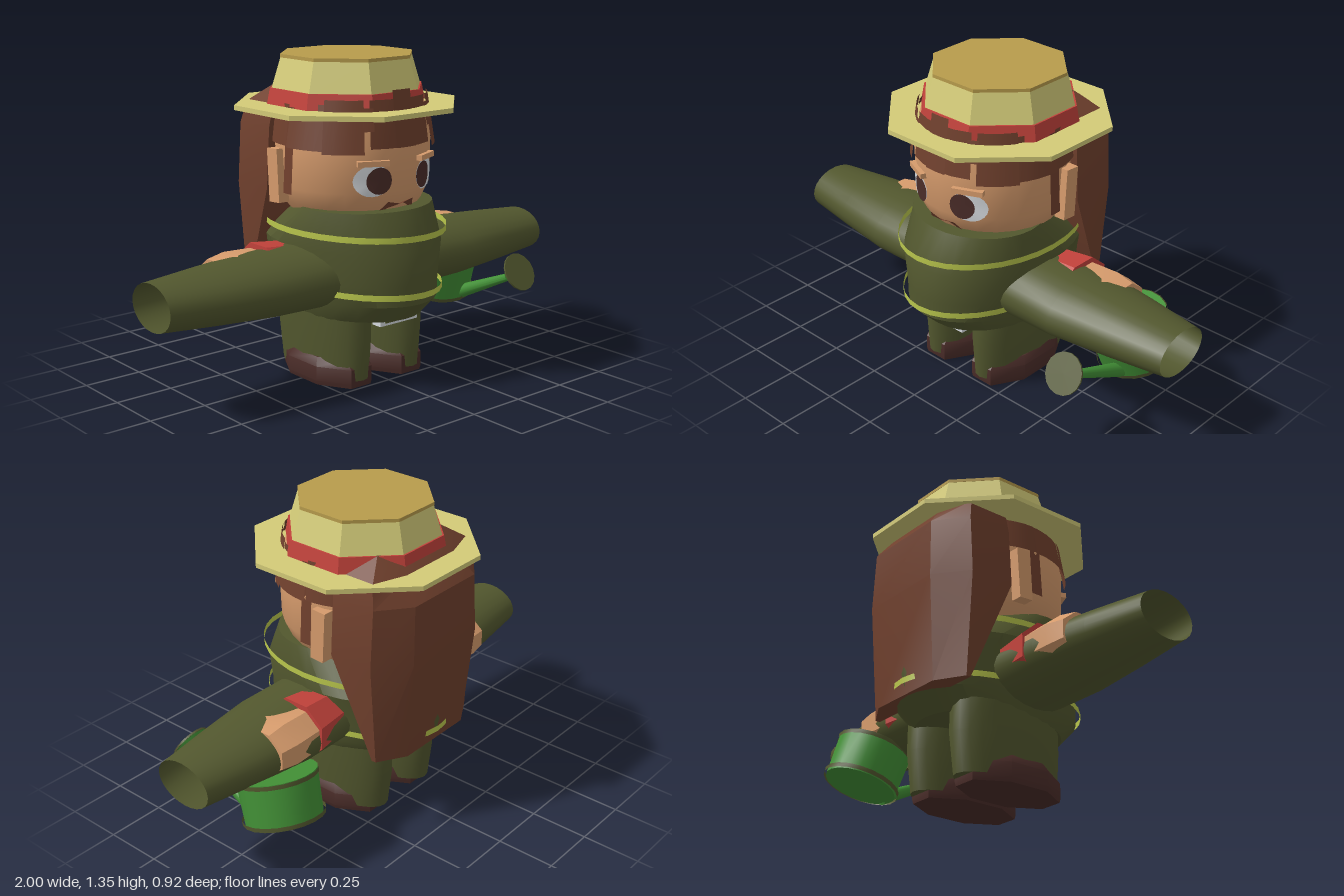
import * as THREE from 'three';
import { toCreasedNormals } from 'three/addons/utils/BufferGeometryUtils.js';

const paint = (name, color, side = THREE.FrontSide) =>
  Object.assign(new THREE.MeshStandardMaterial({ color, side }), { name });

export function createModel() {
  const model = new THREE.Group();
  const skin = paint('skin', 0xd69b6c);
  const hair = paint('hair brown', 0x70402d, THREE.DoubleSide);
  const olive = paint('olive cloth', 0x52572e, THREE.DoubleSide);
  const lime = paint('lime trim', 0xb9c64c, THREE.DoubleSide);
  const straw = paint('straw', 0xd3cb78);
  const ochre = paint('ochre straw', 0xb89c4c);
  const red = paint('red', 0xc2423b);
  const green = paint('can green', 0x429036);
  const dark = paint('dark brown', 0x4b2d29);
  const white = paint('pale grey', 0xd8dce0);

  const add = (name, geo, mat, parent = model) => {
    const mesh = new THREE.Mesh(toCreasedNormals(geo, 0.6), mat);
    mesh.name = name;
    parent.add(mesh);
    return mesh;
  };
  const box = (w, h, d, x, y, z) => new THREE.BoxGeometry(w, h, d).translate(x, y, z);

  // Skin a list of rings, bottom to top, with optional end caps
  const skinRings = (rings, caps = true) => {
    const n = rings[0].length, pos = rings.flat(2), idx = [];
    for (let i = 0; i < rings.length - 1; i++)
      for (let j = 0; j < n; j++) {
        const a = i * n + j, b = i * n + (j + 1) % n;
        idx.push(a, b, b + n, a, b + n, a + n);
      }
    if (caps) {
      const top = (rings.length - 1) * n;
      for (let j = 1; j < n - 1; j++) idx.push(0, j + 1, j, top, top + j, top + j + 1);
    }
    const geo = new THREE.BufferGeometry();
    geo.setAttribute('position', new THREE.Float32BufferAttribute(pos, 3));
    geo.setIndex(idx);
    geo.computeVertexNormals();
    return geo;
  };
  // Elliptical loft; each level is [y, radiusX, radiusZ, centreZ]
  const loft = (levels, n = 24, caps = true, phase = 0) => skinRings(levels.map(([y, rx, rz, cz]) =>
    Array.from({ length: n }, (_, j) => {
      const a = phase + (j / n) * Math.PI * 2;
      return [Math.sin(a) * rx, y, cz + Math.cos(a) * rz];
    })), caps);
  // Octagonal loft with flat sides facing the axes; levels are [y, halfX, halfZ, centreZ]
  const octagon = (levels) => loft(levels.map(([y, x, z, c]) =>
    [y, x / Math.cos(Math.PI / 8), z / Math.cos(Math.PI / 8), c]), 8, true, Math.PI / 8);

  // Tunic and its two hoops
  add('tunic', loft([[0.29, 0.26, 0.325, 0.025], [0.37, 0.295, 0.415, 0.015], [0.45, 0.3, 0.42, 0.01],
    [0.59, 0.33, 0.42, 0.01], [0.745, 0.29, 0.255, 0.1]], 32), olive);
  for (const [y, rx] of [[0.652, 0.337], [0.415, 0.303]])
    add('trimHoop', new THREE.CylinderGeometry(1, 1, 0.025, 32, 1, true).scale(rx, 1, 0.438).translate(0, y, 0.021), lime);
  add('buckle', box(0.2, 0.035, 0.05, 0, 0.283, 0.285), white);
  add('buckleInset', box(0.15, 0.018, 0.008, 0, 0.286, 0.311), olive);

  // Sleeves, arms, legs and boots on both sides
  for (const s of [1, -1]) {
    const sideways = (geo, y) => geo.rotateZ(-s * Math.PI / 2).translate(0, y, 0);
    add('wideSleeve', sideways(loft([[0.24, 0.135, 0.205, 0.035], [0.5, 0.127, 0.21, 0.035],
      [0.75, 0.113, 0.175, 0.035], [1, 0.095, 0.135, 0.035]], 24, false), 0.46), olive);
    add('redCuff', sideways(octagon([[0.26, 0.1, 0.11, -0.04], [0.45, 0.118, 0.138, -0.04]]), 0.48), red);
    add('hand', sideways(octagon([[0.43, 0.1, 0.12, -0.045], [0.58, 0.105, 0.127, -0.045],
      [0.66, 0.09, 0.115, -0.045]]), 0.475), skin);
    add('leg', loft([[0.03, 0.112, 0.25, 0], [0.2, 0.125, 0.265, -0.005], [0.34, 0.128, 0.262, -0.005]])
      .translate(s * 0.138, 0, 0), olive);
    add('boot', octagon([[0, 0.125, 0.222, 0.012], [0.02, 0.132, 0.226, 0.012], [0.08, 0.132, 0.225, 0.012],
      [0.115, 0.115, 0.19, 0.012]]).translate(s * 0.138, 0, 0), dark);
  }

  // Head
  const headZ = 0.01;
  const profile = [[0.69, 0.24], [0.75, 0.288], [0.82, 0.32], [1, 0.325], [1.15, 0.3]];
  add('head', loft(profile.map(([y, r]) => [y, r, r, headZ])), skin);
  const headRadius = (y) => {
    const i = Math.max(1, profile.findIndex((p) => p[0] >= y));
    const [[y0, r0], [y1, r1]] = [profile[i - 1], profile[i]];
    return r0 + (r1 - r0) * (y - y0) / (y1 - y0);
  };
  // Wrap a flat shape onto the face
  const onFace = (geo, lift) => {
    const p = geo.attributes.position;
    for (let i = 0; i < p.count; i++)
      p.setZ(i, headZ + Math.sqrt(headRadius(p.getY(i)) ** 2 - p.getX(i) ** 2) + lift);
    geo.computeVertexNormals();
    return geo;
  };
  const outline = (pts) => new THREE.ShapeGeometry(new THREE.Shape(pts.map(([x, y]) => new THREE.Vector2(x, y))));
  const disc = (rx, ry, x, y) => new THREE.CircleGeometry(1, 20).scale(rx, ry, 1).translate(x, y, 0);
  for (const s of [1, -1]) {
    add('eyeWhite', onFace(disc(0.07, 0.065, s * 0.137, 0.872), 0.005), white);
    add('pupil', onFace(disc(0.05, 0.055, s * 0.115, 0.872), 0.009), dark);
    const lid = box(0.13, 0.022, 0.035, 0, 0, 0).rotateY(s * 0.42).translate(s * 0.137, 0.943, 0.302);
    add('eyelid', lid, skin);
    add('ear', box(0.05, 0.22, 0.065, 0, 0, 0).rotateX(-0.06).translate(s * 0.323, 0.865, -0.07), skin);
  }
  add('mouth', onFace(outline([[-0.09, 0.742], [0.09, 0.742], [0.065, 0.78], [0, 0.765], [-0.065, 0.78]]), 0.008), hair);

  // Fringe and side locks, as arcs: [centre angle, width, bottom, top, bottom radius, top radius]
  const locks = [[0, 0.95, 1.0, 1.19, 0.335, 0.31], [0, 0.3, 1.0, 1.225, 0.34, 0.305]];
  for (const s of [1, -1])
    locks.push([s * 0.8, 0.5, 0.98, 1.19, 0.343, 0.31], [s * 0.5, 0.14, 1.07, 1.16, 0.335, 0.315],
      [s * 1.3, 0.56, 0.99, 1.17, 0.34, 0.308], [s * 1.58, 0.16, 0.8, 1.15, 0.336, 0.315],
      [s * 1.85, 0.5, 0.995, 1.16, 0.336, 0.315]);
  for (const [a, w, y0, y1, r0, r1] of locks)
    add('hairLock', new THREE.CylinderGeometry(r1, r0, y1 - y0, 4, 1, true, a - w / 2, w)
      .translate(0, (y0 + y1) / 2, headZ), hair);
  // Long back hair: [y, halfWidth, backHalfWidth, frontZ, cornerZ, backZ]
  add('backHair', skinRings([[0.36, 0.3, 0.18, -0.31, -0.33, -0.4], [0.8, 0.335, 0.2, -0.13, -0.33, -0.437],
    [1.05, 0.32, 0.19, -0.13, -0.33, -0.43], [1.14, 0.3, 0.15, -0.13, -0.31, -0.36],
    [1.21, 0.2, 0.1, -0.13, -0.25, -0.28]].map(([y, w, b, f, c, z]) =>
    [[w, y, f], [w, y, c], [b, y, z], [-b, y, z], [-w, y, c], [-w, y, f]])), hair);

  // Straw hat
  add('hatBrim', octagon([[1.125, 0.44, 0.44, -0.02], [1.145, 0.44, 0.44, -0.02]]), straw);
  add('hatBand', octagon([[1.14, 0.315, 0.315, -0.02], [1.21, 0.302, 0.302, -0.02]]), red);
  add('hatCrown', octagon([[1.2, 0.298, 0.298, -0.02], [1.333, 0.26, 0.26, -0.02]]), straw);
  add('hatTop', octagon([[1.331, 0.262, 0.262, -0.02], [1.345, 0.262, 0.262, -0.02]]), ochre);

  // Watering can, tipped forward
  const can = new THREE.Group();
  can.name = 'wateringCan';
  can.position.set(0.645, 0.3, -0.13);
  can.rotation.set(0.3, 0, 0.1);
  model.add(can);
  add('canBody', new THREE.CylinderGeometry(0.165, 0.158, 0.19, 20), green, can);
  for (const y of [-0.085, 0.085])
    add('canRim', new THREE.CylinderGeometry(0.17, 0.168, 0.018, 20, 1, true).translate(0, y, 0), olive, can);
  const rod = (name, a, b, r0, r1, mat) => {
    const from = new THREE.Vector3(...a), to = new THREE.Vector3(...b);
    const mesh = add(name, new THREE.CylinderGeometry(r1, r0, from.distanceTo(to), 16), mat);
    mesh.position.copy(from).add(to).multiplyScalar(0.5);
    mesh.quaternion.setFromUnitVectors(new THREE.Vector3(0, 1, 0), to.sub(from).normalize());
  };
  rod('spout', [0.68, 0.19, -0.03], [0.68, 0.335, 0.295], 0.032, 0.016, green);
  rod('rose', [0.68, 0.325, 0.275], [0.68, 0.362, 0.339], 0.016, 0.083, green);
  rod('roseFace', [0.68, 0.362, 0.339], [0.68, 0.366, 0.346], 0.085, 0.085, olive);
  return model;
}
